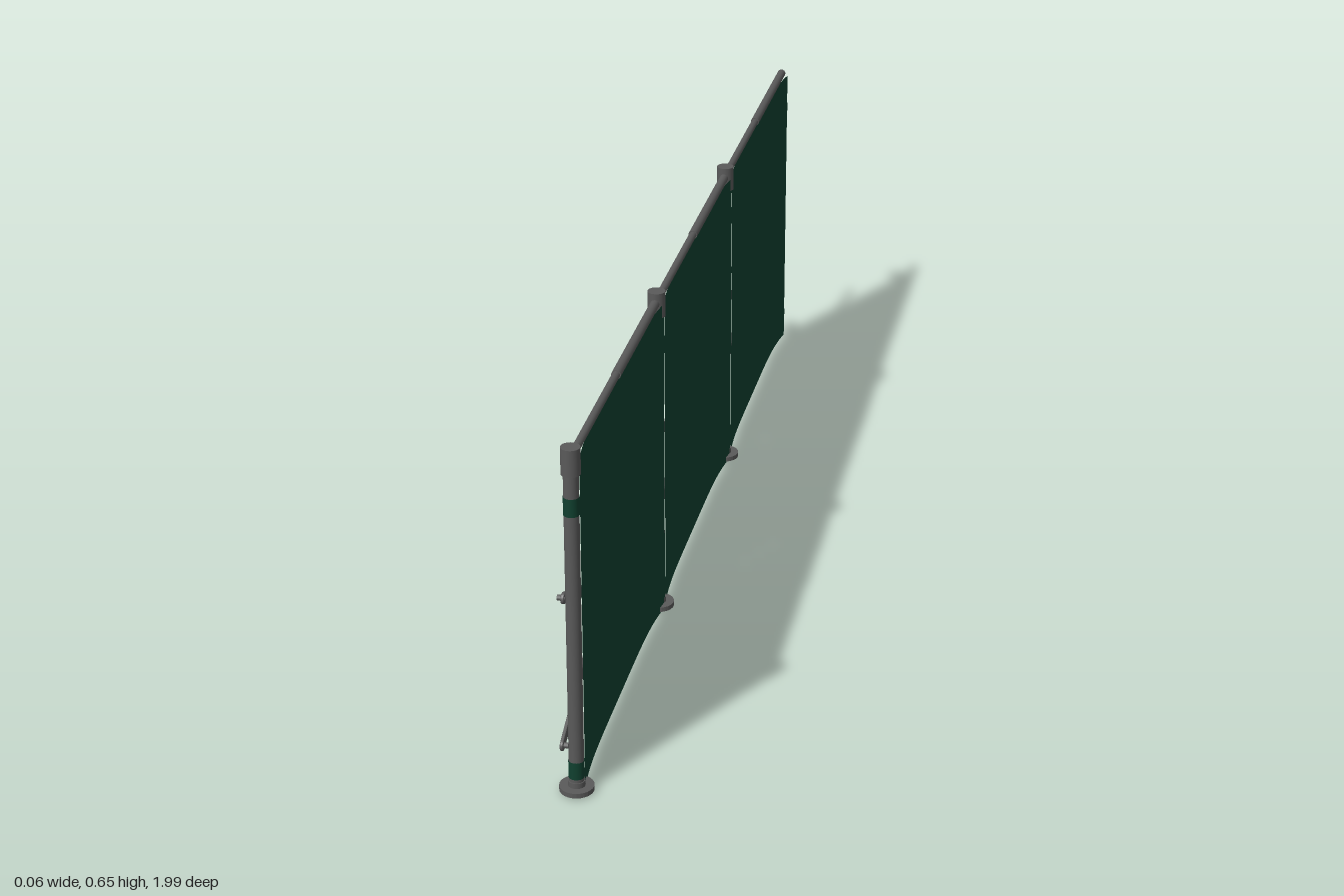
import * as THREE from 'three';

const PITCH = 0.65;
const POSTS = [0.97, 0.32, -0.33];
const STRAPS = [0.045, 0.543];

const steel = new THREE.MeshStandardMaterial({ color: 0x5a5a5a });
steel.name = 'grey steel';
const fabric = new THREE.MeshStandardMaterial({ color: 0x10402f, side: THREE.DoubleSide });
fabric.name = 'dark green sheet';

function add(parent, name, geometry, material, x = 0, y = 0, z = 0) {
  const mesh = new THREE.Mesh(geometry, material);
  mesh.name = name;
  mesh.position.set(x, y, z);
  parent.add(mesh);
  return mesh;
}

// Upright tube with a socket on top and a dished round foot
function makePost() {
  const post = new THREE.Group();
  post.name = 'post';
  add(post, 'tube', new THREE.CylinderGeometry(0.013, 0.013, 0.59, 24), steel, 0, 0.31);
  add(post, 'topSocket', new THREE.CylinderGeometry(0.0165, 0.0165, 0.048, 24), steel, 0, 0.624);
  add(post, 'footHub', new THREE.CylinderGeometry(0.015, 0.015, 0.012, 24), steel, 0, 0.016);
  const foot = [[0, 0.008], [0.02, 0.008], [0.02, 0.003], [0.03, 0.003], [0.03, 0.012], [0, 0.012]]
    .map(([r, y]) => new THREE.Vector2(r, y));
  const lathe = new THREE.LatheGeometry(foot, 28).toNonIndexed();
  lathe.computeVertexNormals();
  add(post, 'foot', lathe, steel);
  return post;
}

// Sheet that lies on the front of the posts and sags back between them
function sheetGeometry() {
  const width = PITCH - 0.005;
  const geo = new THREE.PlaneGeometry(width, 0.624, 40, 1);
  geo.rotateY(Math.PI / 2);
  const p = geo.attributes.position;
  for (let i = 0; i < p.count; i++) {
    const t = Math.abs(p.getZ(i)) / (width / 2);
    p.setX(i, 0.002 + 0.0118 * Math.pow(t, 5));
  }
  geo.computeVertexNormals();
  return geo;
}

// Flat bar with rounded ends, running from (z0, y0) to (z1, y1)
function barGeometry(length) {
  const r = 0.009;
  const s = new THREE.Shape();
  s.moveTo(-length / 2, -r);
  s.lineTo(length / 2, -r);
  s.absarc(length / 2, 0, r, -Math.PI / 2, Math.PI / 2, false);
  s.lineTo(-length / 2, r);
  s.absarc(-length / 2, 0, r, Math.PI / 2, Math.PI * 1.5, false);
  const geo = new THREE.ExtrudeGeometry(s, {
    depth: 0.003, bevelEnabled: true, bevelThickness: 0.0015,
    bevelSize: 0.0015, bevelOffset: -0.0005, bevelSegments: 2, curveSegments: 8,
  });
  geo.translate(0, 0, -0.0015);
  geo.rotateY(Math.PI / 2); // local +x becomes -z
  return geo;
}

function addBrace(parent, name, x, yBack, yFront) {
  const rise = yBack - yFront;
  const bar = add(parent, name, barGeometry(Math.hypot(PITCH, rise)), steel, x, (yBack + yFront) / 2, 0);
  bar.rotation.x = Math.atan2(rise, PITCH);
}

// Telescoping top rail, sheet, straps and crossed braces of one span
function makeBay() {
  const bay = new THREE.Group();
  bay.name = 'bay';
  const half = PITCH / 2;

  const inner = new THREE.CylinderGeometry(0.007, 0.007, half, 18).rotateX(Math.PI / 2);
  const outer = new THREE.CylinderGeometry(0.0085, 0.0085, half, 18).rotateX(Math.PI / 2);
  add(bay, 'innerRail', inner, steel, 0, 0.628, half / 2);
  add(bay, 'outerRail', outer, steel, 0, 0.628, -half / 2);

  add(bay, 'sheet', sheetGeometry(), fabric, 0, 0.312, 0);

  // Loops around the post at both ends of the sheet
  for (const z of [-half, half]) {
    for (const y of STRAPS) {
      add(bay, 'strap', new THREE.CylinderGeometry(0.0138, 0.0138, 0.033, 24, 1, true), fabric, 0, y, z);
    }
  }

  addBrace(bay, 'fallingBrace', -0.0235, 0.37, 0.087);
  addBrace(bay, 'risingBrace', -0.0165, 0.087, 0.37);
  for (const z of [-half, half]) {
    for (const y of [0.087, 0.37]) {
      const bolt = new THREE.CylinderGeometry(0.005, 0.005, 0.014, 12).rotateZ(Math.PI / 2);
      add(bay, 'bracePin', bolt, steel, -0.02, y, z);
    }
  }
  return bay;
}

export function createModel() {
  const model = new THREE.Group();
  model.name = 'fencePanels';
  for (const z of POSTS) {
    const post = makePost();
    post.position.z = z;
    const bay = makeBay();
    bay.position.z = z - PITCH / 2;
    model.add(post, bay);
  }
  return model;
}
